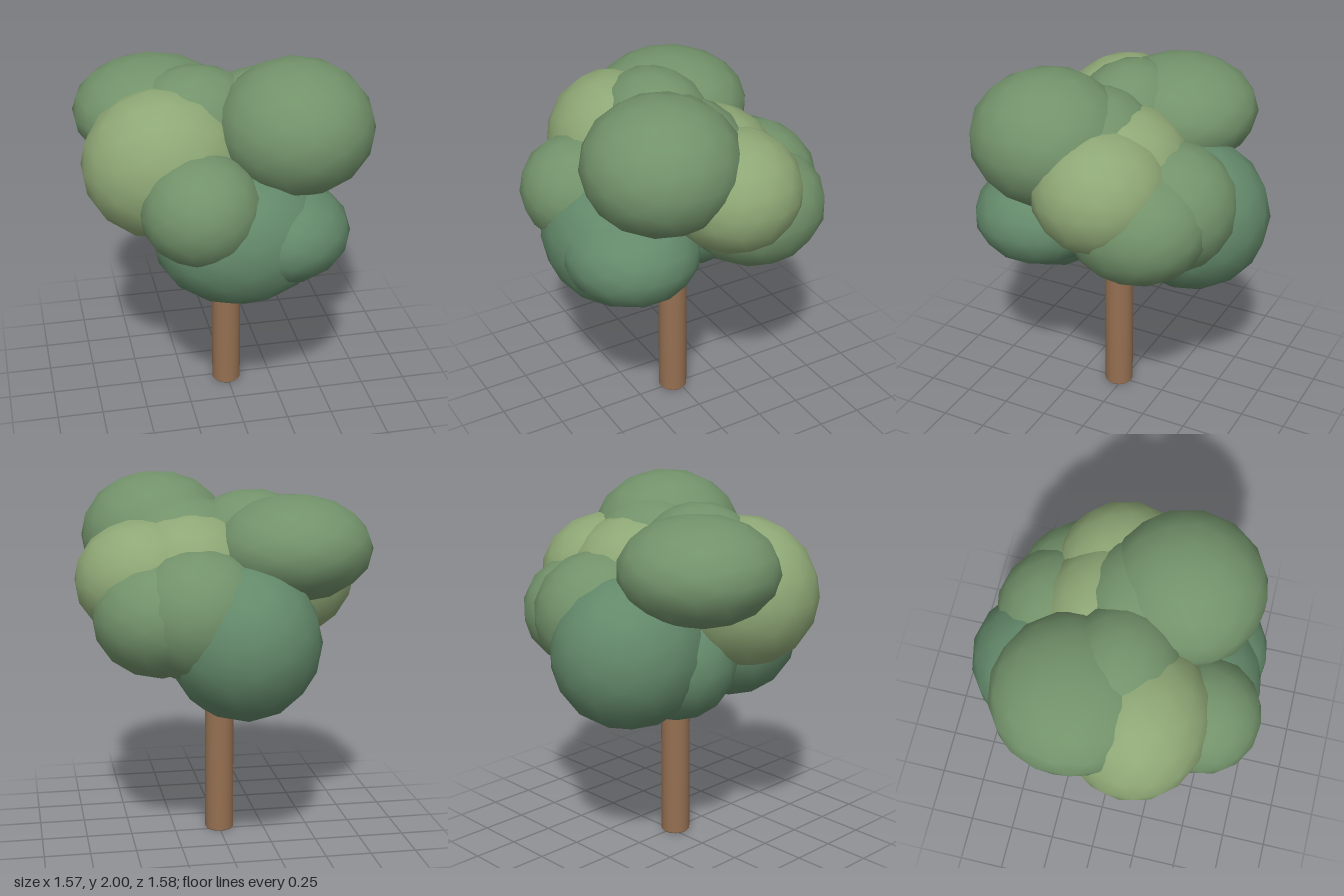
import * as THREE from 'three';

const DARK = 0x63896a, MID = 0x73936b, LIGHT = 0x8fa876, BARK = 0x957052;

// Leaf clumps: name, colour, centre, radii
const CLUMPS = [
  ['crownFrontLeft', MID, [0.31, 1.65, 0.27], [0.415, 0.355, 0.42]],
  ['crownBackRight', MID, [-0.367, 1.63, -0.16], [0.43, 0.285, 0.425]],
  ['crownMiddle', MID, [-0.18, 1.62, 0.04], [0.36, 0.305, 0.31]],
  ['crownMiddleLeft', MID, [0.2, 1.6, 0.06], [0.38, 0.3, 0.32]],
  ['sideRight', LIGHT, [-0.36, 1.46, 0.17], [0.435, 0.405, 0.38]],
  ['sideLeft', LIGHT, [0.42, 1.47, -0.085], [0.37, 0.325, 0.36]],
  ['sideLeftInner', LIGHT, [0.18, 1.49, -0.07], [0.39, 0.34, 0.38]],
  ['frontRight', MID, [-0.225, 1.33, 0.485], [0.315, 0.295, 0.31]],
  ['backLeft', MID, [0.365, 1.305, -0.26], [0.35, 0.32, 0.385]],
  ['backMiddle', MID, [0.17, 1.325, -0.35], [0.37, 0.35, 0.365]],
  ['lowerFront', DARK, [-0.005, 1.13, 0.39], [0.46, 0.38, 0.375]],
  ['lowerFrontLeft', DARK, [0.2, 1.13, 0.395], [0.375, 0.265, 0.365]],
  ['lowerBack', DARK, [-0.067, 1.18, -0.37], [0.41, 0.42, 0.43]],
  ['lowerRight', DARK, [-0.135, 1.1, -0.13], [0.375, 0.335, 0.33]],
];

// Branches: start, end, radius
const BRANCHES = [
  [[0, 0.74, 0.13], [-0.01, 1.02, 0.26], 0.03],
  [[0.04, 0.84, 0.06], [0.13, 1.04, 0.17], 0.03],
  [[0.02, 0.79, -0.04], [0.03, 1, -0.1], 0.03],
];

export function createModel() {
  const tree = new THREE.Group();
  tree.name = 'tree';
  const materials = {};
  const add = (name, geometry, color) => {
    materials[color] ??= new THREE.MeshStandardMaterial({ color });
    const mesh = new THREE.Mesh(geometry, materials[color]);
    mesh.name = name;
    tree.add(mesh);
    return mesh;
  };

  // Trunk with a slight bevel at the foot and top
  const profile = [[0, 0], [0.074, 0], [0.08, 0.008], [0.08, 0.83], [0.074, 0.84], [0, 0.84]];
  const trunk = add('trunk', new THREE.LatheGeometry(profile.map(p => new THREE.Vector2(...p)), 24), BARK);
  trunk.position.set(-0.004, 0, 0.03);

  // Short branches reaching into the leaves
  BRANCHES.forEach(([from, to, r], i) => {
    const a = new THREE.Vector3(...from), b = new THREE.Vector3(...to);
    const dir = b.clone().sub(a);
    const branch = add(`branch${i + 1}`, new THREE.CylinderGeometry(r * 0.85, r, dir.length(), 12), BARK);
    branch.position.copy(a).add(b).multiplyScalar(0.5);
    branch.quaternion.setFromUnitVectors(new THREE.Vector3(0, 1, 0), dir.normalize());
  });

  // Overlapping rounded leaf clumps
  const ball = new THREE.IcosahedronGeometry(1, 2);
  for (const [name, color, centre, radii] of CLUMPS) {
    const clump = add(`${name}Foliage`, ball, color);
    clump.position.set(...centre);
    clump.scale.set(...radii);
  }
  return tree;
}
